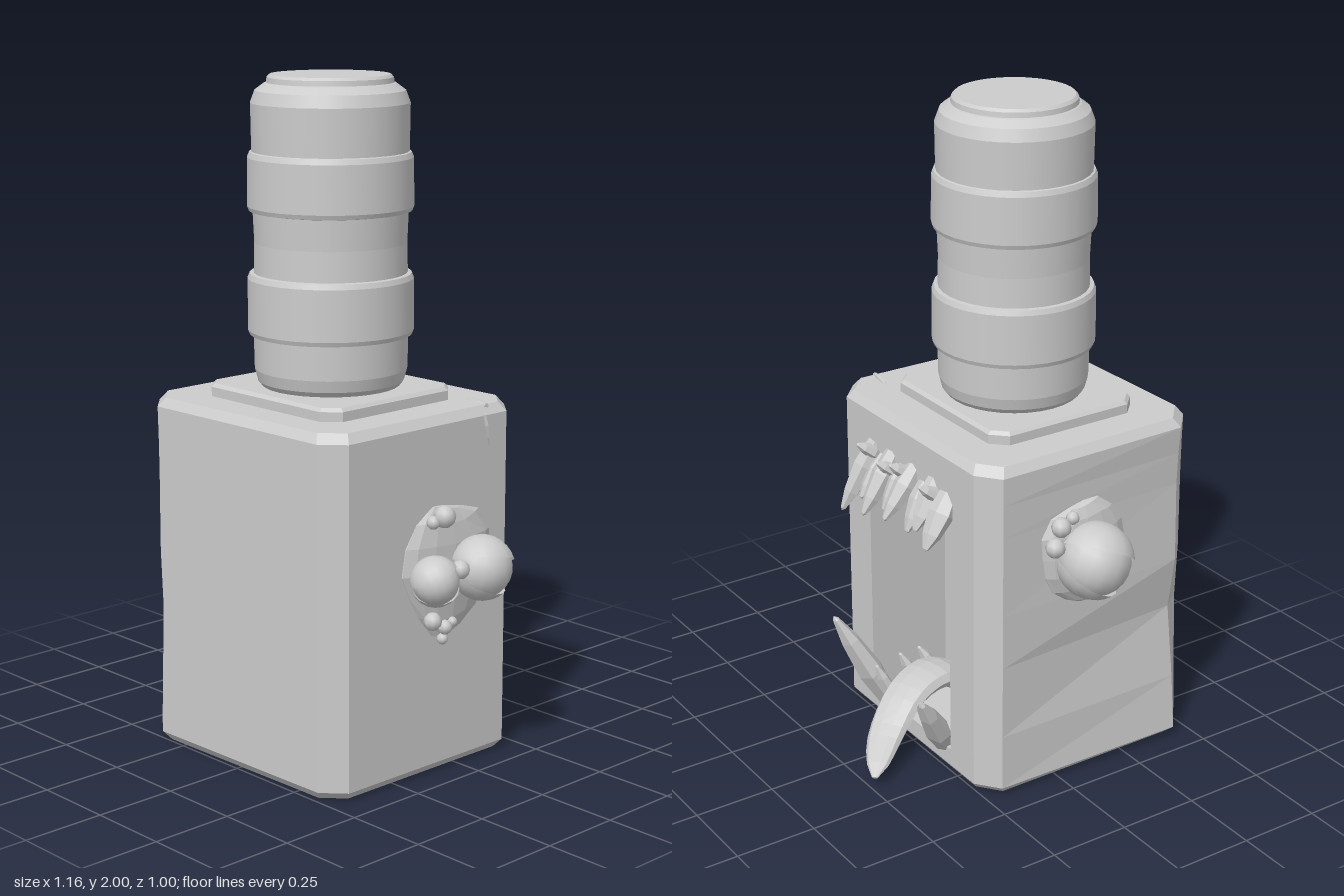
import * as THREE from 'three';

const V = (x, y, z) => new THREE.Vector3(x, y, z);
const flat = new THREE.MeshStandardMaterial({ color: 0xcccccc, flatShading: true, side: THREE.DoubleSide });
const smooth = new THREE.MeshStandardMaterial({ color: 0xcccccc, side: THREE.DoubleSide });

function part(name, geometry, material = flat, parent = null) {
  const mesh = new THREE.Mesh(geometry, material);
  mesh.name = name;
  if (parent) parent.add(mesh);
  return mesh;
}

// Skin closed rings of points and cap both ends; skip(i, j) leaves a panel open
function loft(rings, skip = () => false) {
  const pos = [];
  const tri = (...pts) => pts.forEach(p => pos.push(p.x, p.y, p.z));
  const n = rings[0].length;
  for (let i = 0; i < rings.length - 1; i++) for (let j = 0; j < n; j++) {
    if (skip(i, j)) continue;
    const k = (j + 1) % n, [a, b, c, d] = [rings[i][j], rings[i][k], rings[i + 1][k], rings[i + 1][j]];
    tri(a, b, c);
    tri(a, c, d);
  }
  const cap = (ring, top) => {
    const mid = ring.reduce((s, p) => s.add(p), V(0, 0, 0)).divideScalar(n);
    ring.forEach((p, j) => {
      const q = ring[(j + 1) % n];
      if (top) tri(mid, p, q); else tri(mid, q, p);
    });
  };
  cap(rings[0], false);
  cap(rings[rings.length - 1], true);
  const g = new THREE.BufferGeometry();
  g.setAttribute('position', new THREE.Float32BufferAttribute(pos, 3));
  g.computeVertexNormals();
  return g;
}

// Faceted tooth from base to tip
function tooth(name, base, tip, r, parent, squash = 0.75) {
  const dir = tip.clone().sub(base), h = dir.length();
  const profile = [[0, 0], [0.75, 0], [1, 0.35], [0.7, 0.72], [0.25, 0.96], [0, 1]]
    .map(([x, y]) => new THREE.Vector2(x * r, y * h));
  const m = part(name, new THREE.LatheGeometry(profile, 6), flat, parent);
  m.scale.z = squash;
  m.position.copy(base);
  m.quaternion.setFromUnitVectors(V(0, 1, 0), dir.normalize());
}

// Eyeball with two lid shells parted along a slanted slit; side is +1 or -1 in x
function eye(name, center, r, side, tilt, parent) {
  const g = new THREE.Group();
  g.name = name;
  part('eyeball', new THREE.SphereGeometry(r, 16, 12), smooth, g);
  for (const s of [1, -1]) {
    const lid = part(s > 0 ? 'upperLid' : 'lowerLid',
      new THREE.SphereGeometry(r * 1.09, 16, 6, 0, Math.PI * 2, 0, s > 0 ? 1.35 : 1.2), smooth, g);
    lid.rotation.z = s > 0 ? side * 0.3 : Math.PI - side * 0.35;
  }
  g.rotation.x = tilt;
  g.position.copy(center);
  parent.add(g);
}

// Flattened lumpy patch of flesh around the eyes
function patch(name, x, y, z, ry, rz, parent) {
  const g = new THREE.SphereGeometry(1, 14, 8);
  const p = g.attributes.position;
  for (let i = 0; i < p.count; i++) {
    const a = Math.atan2(p.getY(i), p.getZ(i));
    const k = 1 + 0.06 * Math.sin(3 * a) + 0.04 * Math.cos(5 * a);
    p.setXYZ(i, p.getX(i) * 0.045, p.getY(i) * ry * k, p.getZ(i) * rz * k);
  }
  g.computeVertexNormals();
  part(name, g, flat, parent).position.set(x, y, z);
}

export function createModel() {
  const model = new THREE.Group();
  model.name = 'monsterBlock';

  // Chamfered block, worn along one front corner
  const outline = [[-0.33, 0.508], [0.345, 0.495], [0.41, 0.435], [0.415, -0.19],
    [0.345, -0.255], [-0.345, -0.255], [-0.415, -0.2], [-0.405, 0.44]];
  const levels = [[0, 0.95, -0.01], [0.025, 1, -0.018], [0.2, 1, 0], [0.43, 1, 0.032], [0.6, 1, 0.005],
    [0.85, 1, 0.012], [0.95, 1, 0.008], [1.035, 1, 0], [1.062, 0.95, 0]];
  const rings = levels.map(([y, s, dent]) => outline.map(([x, z], j) =>
    V(x * s + (j === 7 ? dent : j === 0 ? dent * 0.3 : 0), y, 0.125 + (z - 0.125) * s)));
  const body = new THREE.Group();
  body.name = 'body';
  model.add(body);
  part('block', loft(rings, (i, j) => j === 4 && i > 0 && i < 7), flat, body);

  // Back panel with the mouth opening
  const panel = new THREE.Shape([[-0.345, 0.025], [0.345, 0.025], [0.345, 1.035], [-0.345, 1.035]]
    .map(p => new THREE.Vector2(...p)));
  panel.holes.push(new THREE.Path([[-0.22, 0.08], [-0.22, 0.9], [0.22, 0.9], [0.22, 0.08]]
    .map(p => new THREE.Vector2(...p))));
  const back = part('backPanel', new THREE.ShapeGeometry(panel), flat, body);
  back.rotation.y = Math.PI;
  back.position.z = -0.255;

  // Mouth recess: an inward-facing box without its outer side
  const recess = new THREE.BoxGeometry(0.44, 0.82, 0.27);
  recess.setIndex(Array.from(recess.index.array).slice(0, 30));
  recess.scale(-1, 1, 1);
  recess.computeVertexNormals();
  part('mouthRecess', recess, flat, body).position.set(0, 0.49, -0.12);

  // Chip at the top edge
  const chip = new THREE.Group();
  chip.name = 'edgeChip';
  body.add(chip);
  tooth('chipTop', V(0.4, 1.056, -0.12), V(0.3, 1.06, -0.14), 0.014, chip);
  tooth('chipSide', V(0.408, 1.04, -0.1), V(0.412, 0.94, -0.12), 0.016, chip, 0.5);

  // Stepped base plate
  const plate = new THREE.Shape([[-0.235, -0.255], [0.235, -0.255], [0.28, -0.21], [0.28, 0.21],
    [0.235, 0.255], [-0.235, 0.255], [-0.28, 0.21], [-0.28, -0.21]].map(p => new THREE.Vector2(...p)));
  const plateMesh = part('basePlate', new THREE.ExtrudeGeometry(plate, {
    depth: 0.035, bevelEnabled: true, bevelSize: 0.01, bevelOffset: -0.01, bevelThickness: 0.01, bevelSegments: 1,
  }), flat, model);
  plateMesh.rotation.x = -Math.PI / 2;
  plateMesh.position.set(0, 1.055, 0.125);

  // Banded cylinder: each pair of profile points is its own lathe so rims stay crisp
  const profile = [[0, 1.09], [0.195, 1.09], [0.215, 1.115], [0.224, 1.15], [0.226, 1.25], [0.238, 1.252], [0.243, 1.265],
    [0.242, 1.415], [0.236, 1.43], [0.224, 1.432], [0.222, 1.52], [0.226, 1.61], [0.237, 1.612], [0.242, 1.625],
    [0.24, 1.765], [0.234, 1.78], [0.228, 1.782], [0.23, 1.92], [0.217, 1.955], [0.19, 1.975], [0.184, 1.977],
    [0.182, 1.992], [0.174, 2], [0, 2]];
  const column = new THREE.Group();
  column.name = 'column';
  column.position.z = 0.12;
  model.add(column);
  for (let i = 0; i < profile.length - 1; i++) {
    const pts = [profile[i], profile[i + 1]].map(p => new THREE.Vector2(...p));
    part('columnBand', new THREE.LatheGeometry(pts, 32), smooth, column);
  }

  // Single large eye on the right side
  const rightEye = new THREE.Group();
  rightEye.name = 'rightEyeCluster';
  model.add(rightEye);
  patch('rightEyePatch', -0.405, 0.74, 0.08, 0.165, 0.15, rightEye);
  eye('rightEye', V(-0.475, 0.73, 0.08), 0.106, -1, 0.5, rightEye);
  for (const [y, z, r] of [[0.85, -0.02, 0.03], [0.87, 0.02, 0.02], [0.79, -0.04, 0.03]])
    part('wart', new THREE.SphereGeometry(r, 8, 6), smooth, rightEye).position.set(-0.445, y, z);

  // Pair of eyes with warts on the left side
  const leftEyes = new THREE.Group();
  leftEyes.name = 'leftEyeCluster';
  model.add(leftEyes);
  patch('leftEyePatch', 0.405, 0.615, 0.05, 0.2, 0.18, leftEyes);
  eye('leftBigEye', V(0.493, 0.615, -0.012), 0.088, 1, -0.25, leftEyes);
  eye('leftSmallEye', V(0.475, 0.605, 0.16), 0.068, 1, 0.3, leftEyes);
  for (const [x, y, z, r] of [[0.455, 0.78, 0.105, 0.033], [0.44, 0.765, 0.135, 0.02], [0.445, 0.475, 0.14, 0.027],
    [0.44, 0.445, 0.085, 0.022], [0.435, 0.41, 0.09, 0.017], [0.44, 0.455, 0.055, 0.015], [0.5, 0.63, 0.085, 0.028]])
    part('wart', new THREE.SphereGeometry(r, 8, 6), smooth, leftEyes).position.set(x, y, z);

  // Upper teeth: a ragged row jutting out and down
  const mouth = new THREE.Group();
  mouth.name = 'mouth';
  model.add(mouth);
  for (const [x, y, tx, ty, tz, r] of [[-0.2, 0.9, -0.22, 0.77, -0.34, 0.042], [-0.13, 0.92, -0.15, 0.8, -0.33, 0.035],
    [-0.08, 0.89, -0.09, 0.77, -0.32, 0.036], [-0.02, 0.92, -0.02, 0.79, -0.355, 0.04], [0.04, 0.9, 0.04, 0.79, -0.32, 0.034],
    [0.1, 0.92, 0.1, 0.76, -0.355, 0.042], [0.15, 0.89, 0.15, 0.79, -0.33, 0.035], [0.2, 0.92, 0.22, 0.73, -0.355, 0.045]])
    tooth('upperTooth', V(x, y + 0.02, -0.24), V(tx, ty, tz), r, mouth);
  for (const [x, y] of [[-0.16, 0.94], [0, 0.95], [0.07, 0.93], [0.18, 0.95]])
    tooth('gumTooth', V(x, y - 0.05, -0.24), V(x + 0.01, y, -0.315), 0.03, mouth);

  // Lower fangs and small teeth beside the tongue
  tooth('lowerFang', V(0.17, 0.06, -0.23), V(0.22, 0.38, -0.395), 0.055, mouth);
  tooth('lowerFang', V(-0.15, 0.06, -0.23), V(-0.245, 0.29, -0.375), 0.052, mouth);
  for (const [x, y, z] of [[0.12, 0.22, -0.27], [0.07, 0.18, -0.24], [0.17, 0.2, -0.15],
    [-0.1, 0.2, -0.27], [-0.17, 0.2, -0.16], [0.2, 0.18, -0.06]])
    tooth('lowerTooth', V(x, 0.06, z + 0.04), V(x * 1.1, y, z - 0.03), 0.032, mouth);

  // Tongue arching over the lower lip
  const curve = new THREE.CatmullRomCurve3([V(0.06, 0.1, 0.01), V(0.05, 0.18, -0.13), V(0.01, 0.17, -0.26),
    V(-0.055, 0.095, -0.38), V(-0.165, 0.035, -0.49)]);
  const tongue = [];
  for (let i = 0; i <= 14; i++) {
    const t = i / 14, c = curve.getPoint(t), T = curve.getTangent(t);
    const side = V(0, 1, 0).cross(T).normalize(), up = T.clone().cross(side);
    const k = Math.sqrt(Math.max(0.03, 1 - t ** 6)), w = (0.088 - 0.035 * t) * k, h = (0.045 - 0.02 * t) * k;
    tongue.push(Array.from({ length: 10 }, (_, j) => {
      const a = j * Math.PI / 5;
      const groove = j === 2 || j === 3 ? 0.85 : 1;
      return c.clone().addScaledVector(side, Math.cos(a) * w).addScaledVector(up, Math.sin(a) * h * groove);
    }));
  }
  part('tongue', loft(tongue), flat, mouth);
  return model;
}
